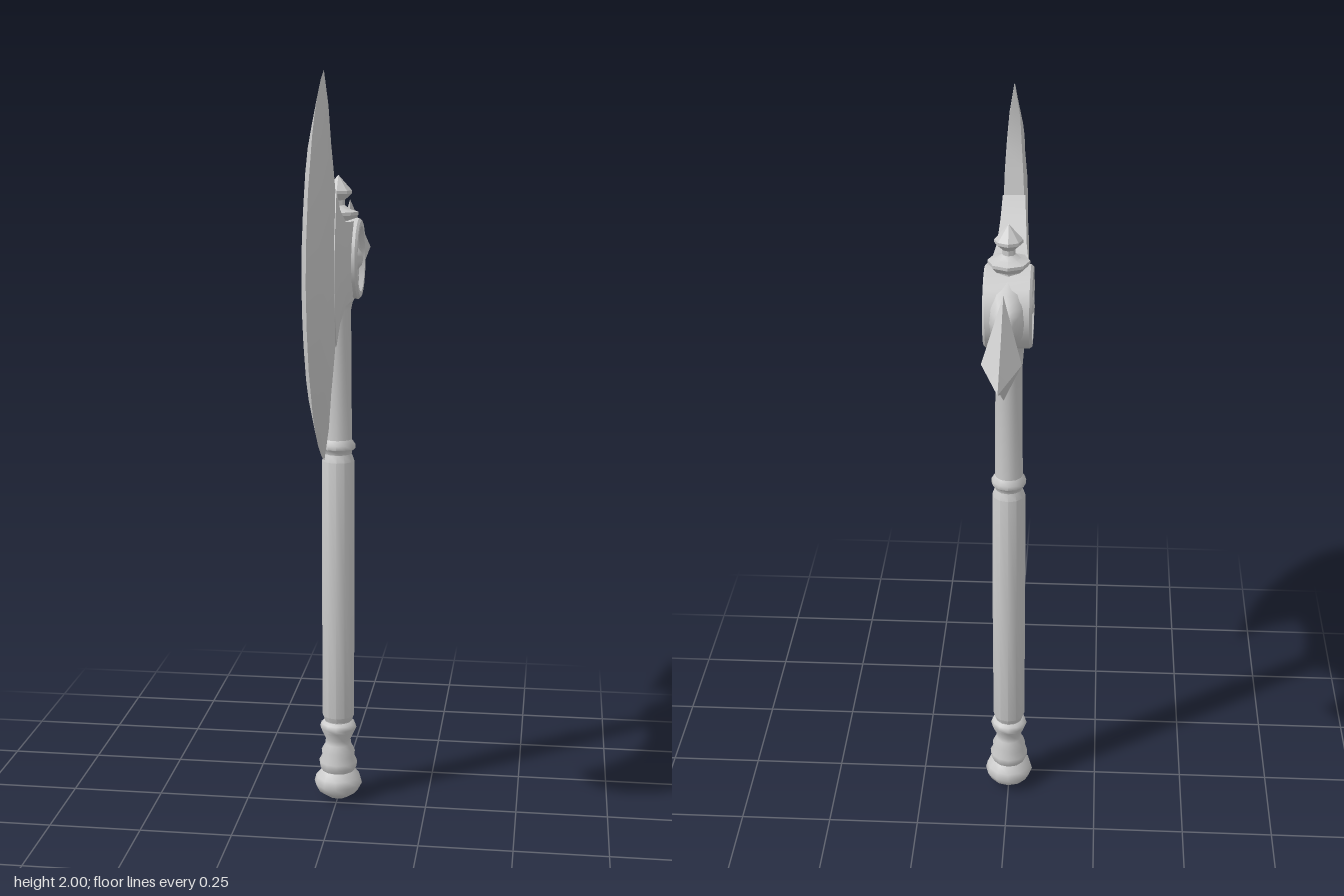
import * as THREE from 'three';
import { toCreasedNormals } from 'three/addons/utils/BufferGeometryUtils.js';

const MAT = new THREE.MeshStandardMaterial({ color: 0xcccccc });
const AXIS_Z = -0.045; // shaft axis
const HEAD_Y = 1.515; // height of the hub centre

function part(name, geometry, crease = 0.6) {
  const mesh = new THREE.Mesh(toCreasedNormals(geometry, crease), MAT);
  mesh.name = name;
  return mesh;
}

function lathe(name, profile, sides, crease) {
  const points = profile.map(([r, y]) => new THREE.Vector2(r, y));
  return part(name, new THREE.LatheGeometry(points, sides), crease);
}

// Collects triangles, dropping those with no area
function triangles(list) {
  const out = [];
  const tri = new THREE.Triangle();
  for (const [a, b, c] of list) {
    tri.a.set(...a);
    tri.b.set(...b);
    tri.c.set(...c);
    if (tri.getArea() > 1e-8) out.push(...a, ...b, ...c);
  }
  const g = new THREE.BufferGeometry();
  g.setAttribute('position', new THREE.Float32BufferAttribute(out, 3));
  return g;
}

// Solid mirrored in x from a grid of [z, y, half thickness], rows running down
function plate(rows) {
  const grid = rows.map((row) => row.map(([z, y, x]) => [x, y + HEAD_Y, z]));
  const flip = ([x, y, z]) => [-x, y, z];
  const n = grid.length - 1, m = grid[0].length - 1;
  const tris = [];
  for (let i = 0; i < n; i++) {
    for (let j = 0; j < m; j++) {
      const a = grid[i][j], b = grid[i + 1][j], c = grid[i][j + 1], d = grid[i + 1][j + 1];
      for (const [p, q, r] of [[a, b, c], [b, d, c]]) {
        tris.push([p, q, r], [flip(p), flip(r), flip(q)]);
      }
    }
  }
  // Rim between the two sides
  const rim = [];
  for (let i = 0; i < n; i++) rim.push(grid[i][0]);
  for (let j = 0; j < m; j++) rim.push(grid[n][j]);
  for (let i = n; i > 0; i--) rim.push(grid[i][m]);
  for (let j = m; j > 0; j--) rim.push(grid[0][j]);
  rim.forEach((p, k) => {
    const q = rim[(k + 1) % rim.length];
    tris.push([q, p, flip(p)], [q, flip(p), flip(q)]);
  });
  return triangles(tris);
}

// Repeats the upper rows below the centre line (the last row is the centre)
function mirrorRows(rows) {
  const lower = rows.slice(0, -1).reverse().map((row) => row.map(([z, y, x]) => [z, -y, x]));
  return [...rows, ...lower];
}

// Tube of elliptical sections [z, half width, half height], running towards -z
function ellipseLoft(sections, sides) {
  const g = new THREE.CylinderGeometry(1, 1, 1, sides, sections.length - 1, true);
  const pos = g.attributes.position;
  for (let i = 0; i < pos.count; i++) {
    const row = Math.round((0.5 - pos.getY(i)) * (sections.length - 1));
    const [z, w, h] = sections[row];
    pos.setXYZ(i, pos.getX(i) * w, HEAD_Y - pos.getZ(i) * h, z);
  }
  return g;
}

export function createModel() {
  const model = new THREE.Group();
  model.name = 'battleAxe';

  // Handle: pommel, grip, ring and upper shaft
  const pommel = lathe('pommel', [
    [0, 0], [0.03, 0.005], [0.055, 0.022], [0.067, 0.045], [0.062, 0.065], [0.046, 0.083],
    [0.052, 0.095], [0.053, 0.11], [0.045, 0.125], [0.047, 0.14], [0.036, 0.16],
    [0.035, 0.175], [0.047, 0.2], [0.051, 0.21], [0.047, 0.222], [0.038, 0.228], [0.038, 0.24],
  ], 12, 0.9);
  const grip = lathe('grip', [
    [0.036, 0.225], [0.044, 0.245], [0.045, 0.6], [0.044, 0.97], [0.037, 0.99],
  ], 12);
  const ring = lathe('gripRing', [
    [0.036, 0.985], [0.037, 0.997], [0.046, 1.005], [0.046, 1.017], [0.037, 1.03],
  ], 12, 0.9);
  const shaft = lathe('upperShaft', [
    [0.037, 1.02], [0.034, 1.38], [0.038, 1.4], [0.052, 1.425], [0.055, 1.47],
  ], 12, 0.9);

  // Finial on top of the hub
  const finial = lathe('finial', [
    [0.04, 1.59], [0.042, 1.617], [0.053, 1.63], [0.053, 1.638], [0.03, 1.645], [0.017, 1.655],
    [0.017, 1.668], [0.036, 1.685], [0.036, 1.693], [0, 1.733],
  ], 8, 0.5);
  for (const piece of [pommel, grip, ring, shaft, finial]) {
    piece.position.z = AXIS_Z;
    model.add(piece);
  }

  // Hub: a drum across the shaft with a dished face and boss on each side
  const face = [
    [0, 0.066], [0.016, 0.062], [0.028, 0.052], [0.034, 0.045],
    [0.078, 0.047], [0.086, 0.061], [0.1, 0.061], [0.106, 0.055],
  ];
  const hubProfile = [...face.map(([r, x]) => [r, -x]), ...face.slice().reverse()];
  const hub = lathe('hub', hubProfile, 24, 0.6);
  hub.rotation.z = -Math.PI / 2;
  hub.position.set(0, HEAD_Y, AXIS_Z);
  model.add(hub);

  // Crescent blade: each row runs from cutting edge over the bevel to the inner edge
  const bladeRows = mirrorRows([
    [[0.23, 0.485, 0], [0.23, 0.485, 0], [0.23, 0.485, 0], [0.23, 0.485, 0]],
    [[0.285, 0.462, 0], [0.25, 0.4, 0.014], [0.248, 0.397, 0.014], [0.246, 0.392, 0.014]],
    [[0.34, 0.427, 0], [0.318, 0.352, 0.018], [0.27, 0.325, 0.021], [0.24, 0.31, 0.019]],
    [[0.39, 0.383, 0], [0.368, 0.302, 0.02], [0.29, 0.262, 0.026], [0.227, 0.25, 0.023]],
    [[0.432, 0.333, 0], [0.408, 0.247, 0.02], [0.315, 0.21, 0.03], [0.215, 0.195, 0.026]],
    [[0.5, 0.21, 0], [0.448, 0.155, 0.02], [0.36, 0.14, 0.03], [0.262, 0.135, 0.031]],
    [[0.53, 0.105, 0], [0.469, 0.078, 0.02], [0.385, 0.072, 0.03], [0.293, 0.07, 0.033]],
    [[0.543, 0, 0], [0.475, 0, 0.02], [0.395, 0, 0.03], [0.305, 0, 0.034]],
  ]);
  model.add(part('blade', plate(bladeRows), 0.35));

  // Cheek joining blade to hub
  const cheekRows = mirrorRows([
    [[0.215, 0.195, 0.029], [0.175, 0.143, 0.033], [0.1, 0.107, 0.038], [0.02, 0.102, 0.045], [-0.04, 0.1, 0.045]],
    [[0.262, 0.135, 0.033], [0.19, 0.1, 0.036], [0.1, 0.075, 0.041], [0.02, 0.07, 0.048], [-0.04, 0.07, 0.04]],
    [[0.293, 0.07, 0.035], [0.2, 0.05, 0.038], [0.1, 0.037, 0.043], [0.02, 0.035, 0.05], [-0.04, 0.035, 0.04]],
    [[0.305, 0, 0.036], [0.205, 0, 0.038], [0.1, 0, 0.043], [0.02, 0, 0.05], [-0.04, 0, 0.04]],
  ]);
  model.add(part('bladeCheek', plate(cheekRows), 0.6));

  // Waisted neck of the rear spike
  model.add(part('spikeNeck', ellipseLoft([
    [-0.09, 0.056, 0.095], [-0.14, 0.05, 0.07], [-0.162, 0.036, 0.046], [-0.185, 0.023, 0.034],
    [-0.215, 0.018, 0.03], [-0.25, 0.017, 0.036], [-0.275, 0.019, 0.05], [-0.3, 0.022, 0.07],
    [-0.34, 0.02, 0.06],
  ], 12), 1.2));

  // Barbed spike head, one quadrant mirrored four ways
  const head = [];
  for (const sx of [1, -1]) {
    for (const sy of [1, -1]) {
      const p = (x, y, z) => [sx * x, HEAD_Y + sy * y, z];
      const barb = p(0, 0.138, -0.295), side = p(0.048, 0, -0.38), ridge = p(0, 0.068, -0.4);
      const tip = p(0, 0, -0.538), back = p(0, 0, -0.305);
      for (const [a, b, c] of [[barb, side, ridge], [ridge, side, tip], [barb, back, side]]) {
        head.push(sx * sy > 0 ? [a, b, c] : [a, c, b]);
      }
    }
  }
  model.add(part('spikeHead', triangles(head), 0.3));

  return model;
}
